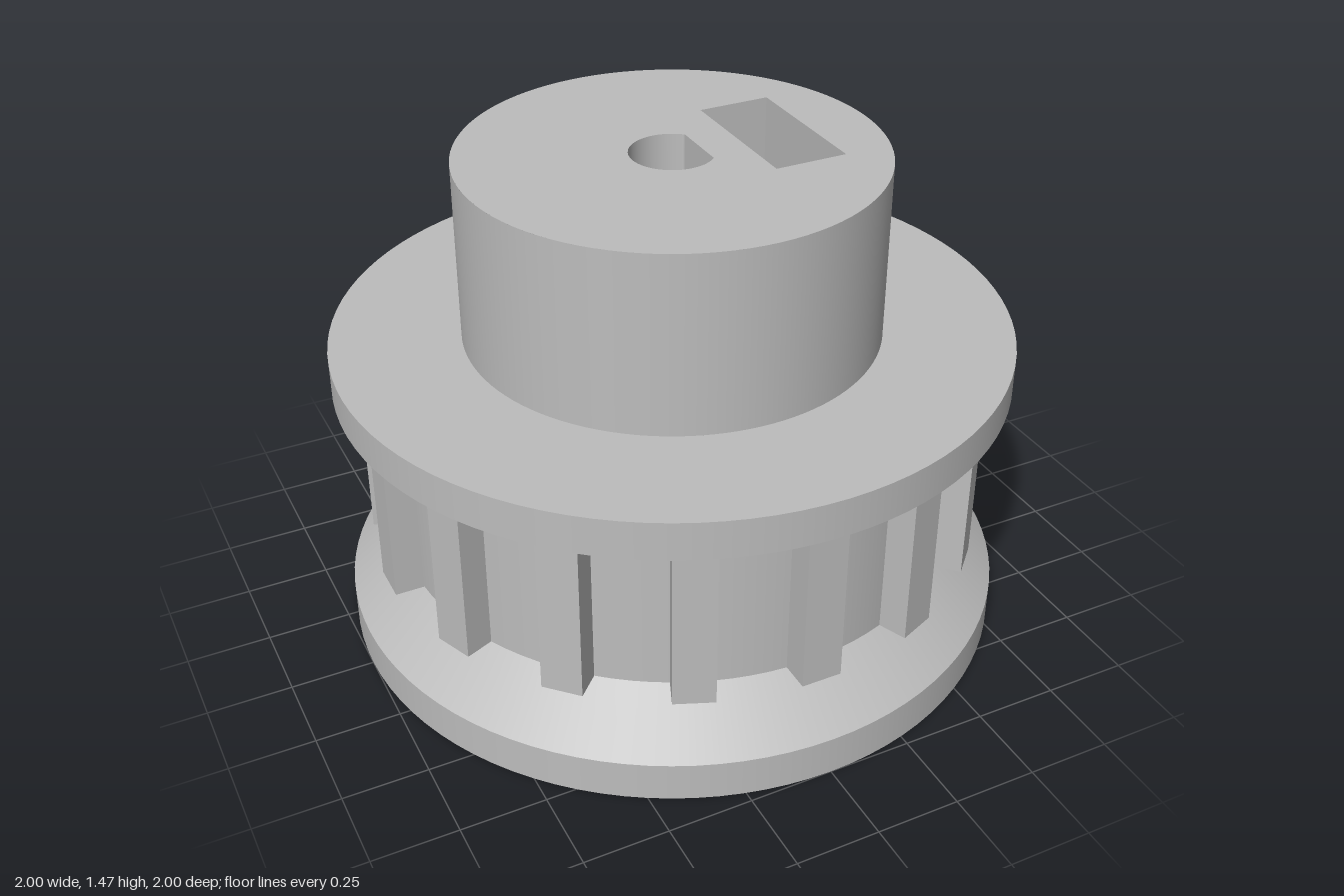
import * as THREE from 'three';
import { ParametricGeometry } from 'three/addons/geometries/ParametricGeometry.js';

const HUB_R = 0.616, HUB_BOTTOM = 0.93, HUB_TOP = 1.47;
const BORE_R = 0.123, BORE_FLAT = 0.085, BORE_BOTTOM = 0.31;
const SCREW_R = 0.123, SCREW_Y = 1.2;
const SLOT_IN = 0.205, SLOT_OUT = 0.425, SLOT_W = 0.228;
const TEETH = 16, TOOTH_W = 0.12, TOOTH_R = 0.925;

export function createModel() {
  const metal = new THREE.MeshStandardMaterial({ color: 0xbdbdbd, side: THREE.DoubleSide });
  metal.name = 'plain grey';
  const root = new THREE.Group();
  root.name = 'timingPulley';

  const addGroup = (name) => {
    const group = new THREE.Group();
    group.name = name;
    root.add(group);
    return group;
  };
  const add = (name, geometry, parent = root) => {
    const mesh = new THREE.Mesh(geometry, metal);
    mesh.name = name;
    parent.add(mesh);
    return mesh;
  };
  // Sweeps each straight profile step on its own, so the edges stay sharp
  const turned = (name, profile) => {
    const group = addGroup(name);
    for (let i = 0; i + 1 < profile.length; i++) {
      const pair = [profile[i], profile[i + 1]].map(([r, y]) => new THREE.Vector2(r, y));
      add(name + 'Face', new THREE.LatheGeometry(pair, 96), group);
    }
  };
  const surface = (fn, slices, stacks) =>
    new ParametricGeometry((u, v, p) => p.set(...fn(u, v)), slices, stacks);
  const circle = (r, y = 0) => new THREE.Path().absarc(0, y, r, 0, Math.PI * 2, true);
  const disc = (r, holes) => {
    const shape = new THREE.Shape().absarc(0, 0, r, 0, Math.PI * 2, false);
    shape.holes.push(...holes);
    return new THREE.ShapeGeometry(shape, 48);
  };
  // D-shaped outline of the shaft bore
  const boreOutline = () => {
    const a = Math.acos(BORE_FLAT / BORE_R);
    const path = new THREE.Path();
    path.absarc(0, 0, BORE_R, a, Math.PI * 2 - a, false);
    path.closePath();
    return path;
  };

  // Flanges, toothed core and the hollow underneath
  turned('undersideRecess', [[0.387, BORE_BOTTOM], [0.387, 0.77], [0.657, 0.77], [0.657, 0]]);
  turned('lowerFlange', [[0.657, 0], [1, 0], [1, 0.12], [0.84, 0.275]]);
  turned('beltCore', [[0.84, 0.275], [0.84, 0.815]]);
  turned('upperFlange', [[0.84, 0.815], [1, 0.815], [1, HUB_BOTTOM], [HUB_R, HUB_BOTTOM]]);
  add('bossUnderside', disc(0.387, [boreOutline()]).rotateX(Math.PI / 2).translate(0, BORE_BOTTOM, 0));

  // Belt teeth
  const teeth = addGroup('beltTeeth');
  const toothGeometry = new THREE.BoxGeometry(TOOTH_W, 0.542, 0.125)
    .translate(0, 0.546, TOOTH_R - 0.0625);
  for (let i = 0; i < TEETH; i++) {
    add('tooth', toothGeometry, teeth).rotation.y = (i / TEETH) * Math.PI * 2;
  }

  // Hub top with the bore and the nut slot opening
  const hub = addGroup('hub');
  const slotOpening = new THREE.Path([
    [SLOT_IN, -SLOT_W], [SLOT_IN, SLOT_W], [SLOT_OUT, SLOT_W], [SLOT_OUT, -SLOT_W],
  ].map(([x, y]) => new THREE.Vector2(x, y)));
  add('hubTop', disc(HUB_R, [boreOutline(), slotOpening])
    .rotateX(-Math.PI / 2).translate(0, HUB_TOP, 0), hub);

  // Hub wall, with a square patch that carries the round screw hole
  const half = (HUB_TOP - HUB_BOTTOM) / 2;
  const gap = Math.asin(half / HUB_R);
  add('hubWall', new THREE.CylinderGeometry(HUB_R, HUB_R, half * 2, 96, 1, true,
    Math.PI / 2 + gap, Math.PI * 2 - 2 * gap).translate(0, SCREW_Y, 0), hub);
  const hubX = (z) => Math.sqrt(HUB_R * HUB_R - z * z);
  add('hubScrewPatch', surface((u, v) => {
    const c = Math.cos(u * Math.PI * 2), s = Math.sin(u * Math.PI * 2);
    const edge = half / Math.max(Math.abs(c), Math.abs(s));
    const r = SCREW_R + (edge - SCREW_R) * v;
    return [hubX(c * r), SCREW_Y + s * r, c * r];
  }, 64, 8), hub);

  // Screw hole: hub surface to nut slot, then nut slot to bore
  const boreX = (z) => Math.min(BORE_FLAT, Math.sqrt(Math.max(0, BORE_R * BORE_R - z * z)));
  const screwTube = (name, from, to) => add(name, surface((u, v) => {
    const z = SCREW_R * Math.cos(u * Math.PI * 2);
    const y = SCREW_Y + SCREW_R * Math.sin(u * Math.PI * 2);
    return [to(z) + (from(z) - to(z)) * v, y, z];
  }, 48, 1), hub);
  screwTube('outerScrewHole', () => SLOT_OUT, hubX);
  screwTube('innerScrewHole', boreX, () => SLOT_IN);

  // Nut slot: straight sides above a pointed floor
  const slot = addGroup('nutSlot');
  const outline = [[-SLOT_W, HUB_TOP], [-SLOT_W, 1.07], [0, 0.937], [SLOT_W, 1.07], [SLOT_W, HUB_TOP]];
  for (const x of [SLOT_IN, SLOT_OUT]) {
    const face = new THREE.Shape(outline.map(([z, y]) => new THREE.Vector2(z, y)));
    face.holes.push(circle(SCREW_R, SCREW_Y));
    const turn = x === SLOT_IN ? Math.PI / 2 : -Math.PI / 2;
    add('slotFace', new THREE.ShapeGeometry(face, 24).rotateY(turn).translate(x, 0, 0), slot);
  }
  for (let i = 0; i + 1 < outline.length; i++) {
    const [[z0, y0], [z1, y1]] = [outline[i], outline[i + 1]];
    add('slotSide', surface((u, v) => [
      SLOT_IN + (SLOT_OUT - SLOT_IN) * v, y0 + (y1 - y0) * u, z0 + (z1 - z0) * u,
    ], 1, 1), slot);
  }

  // Shaft bore: round half, and flat half split by the screw hole
  const bore = addGroup('shaftBore');
  add('roundBoreWall', new THREE.CylinderGeometry(BORE_R, BORE_R, HUB_TOP - BORE_BOTTOM, 32, 1, true,
    Math.PI, Math.PI).translate(0, (HUB_TOP + BORE_BOTTOM) / 2, 0), bore);
  for (const [end, side] of [[BORE_BOTTOM, -1], [HUB_TOP, 1]]) {
    add('flatBoreWall', surface((u, v) => {
      const z = BORE_R * Math.cos(u * Math.PI);
      const cut = SCREW_Y + side * SCREW_R * Math.sin(u * Math.PI);
      return [boreX(z), end + (cut - end) * (side < 0 ? v : 1 - v), z];
    }, 48, 1), bore);
  }
  return root;
}
